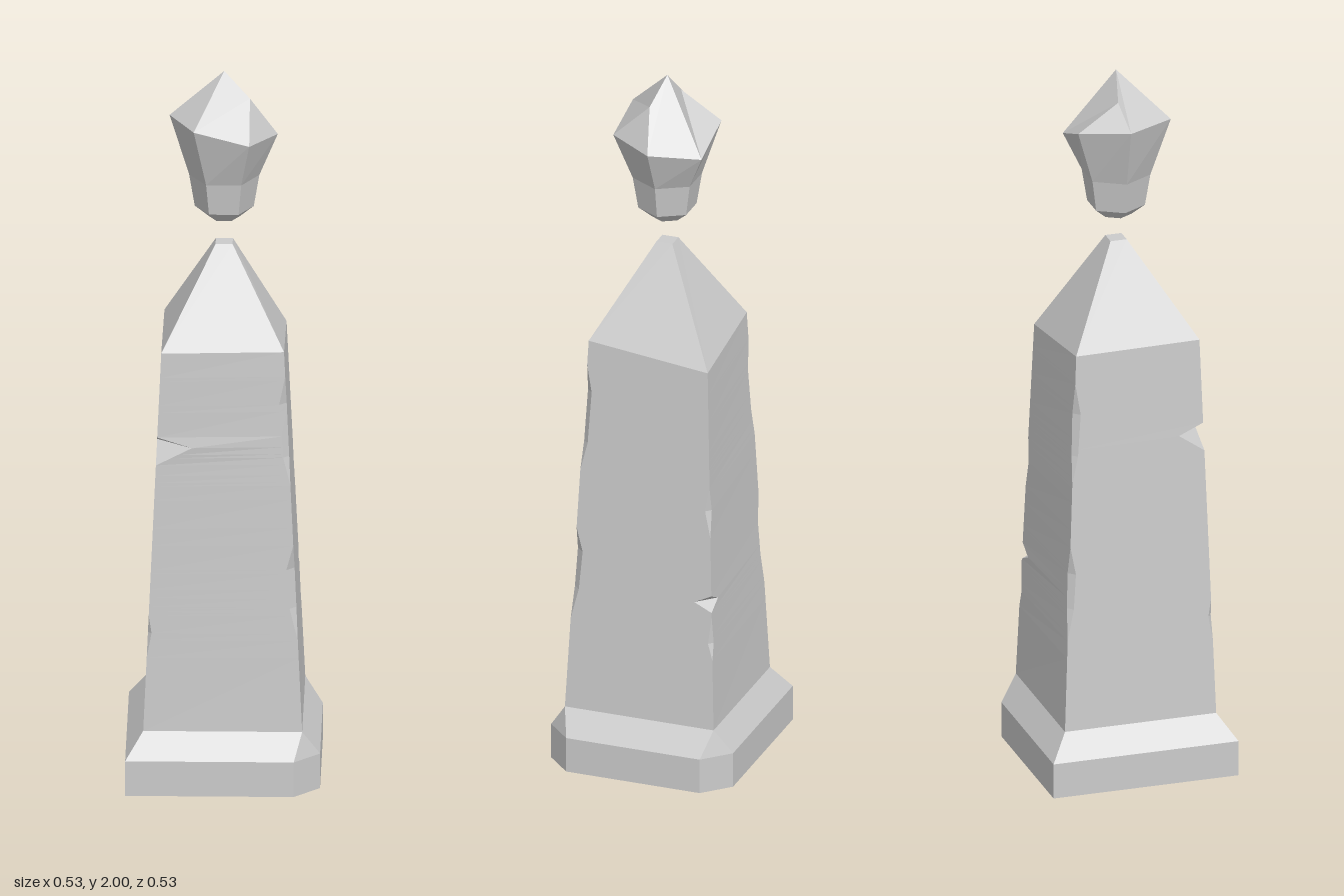
import * as THREE from 'three';

const material = new THREE.MeshStandardMaterial({ color: 0xcccccc, flatShading: true, side: THREE.DoubleSide });

// Flat-shaded mesh from polygons (arrays of [x, y, z], counter-clockwise from outside)
function polyMesh(name, polygons) {
  const pos = [];
  const [u, v, n] = [0, 1, 2].map(() => new THREE.Vector3());
  for (const p of polygons) {
    for (let i = 1; i < p.length - 1; i++) {
      u.fromArray(p[i]).sub(n.fromArray(p[0]));
      v.fromArray(p[i + 1]).sub(n);
      if (u.cross(v).length() > 1e-8) pos.push(...p[0], ...p[i], ...p[i + 1]);
    }
  }
  const geometry = new THREE.BufferGeometry();
  geometry.setAttribute('position', new THREE.Float32BufferAttribute(pos, 3));
  geometry.computeVertexNormals();
  const mesh = new THREE.Mesh(geometry, material);
  mesh.name = name;
  return mesh;
}

// Side faces between successive rings, listed bottom to top
function loft(rings) {
  const faces = [];
  for (let r = 0; r < rings.length - 1; r++) {
    const a = rings[r], b = rings[r + 1];
    a.forEach((p, i) => {
      const j = (i + 1) % a.length;
      faces.push([p, a[j], b[j], b[i]]);
    });
  }
  return faces;
}

// Two points for corner i, cut back by dx and dz
function cutCorner(i, [x, y, z], dx, dz) {
  const pair = [[x - Math.sign(x) * dx, y, z], [x, y, z - Math.sign(z) * dz]];
  return i % 2 ? pair : pair.reverse();
}

// Corner signs, running counter-clockwise seen from above
const SIGNS = [[-1, 1], [1, 1], [1, -1], [-1, -1]];
const squareRing = (half, y, cuts) =>
  SIGNS.flatMap(([sx, sz], i) => cutCorner(i, [sx * half, y, sz * half], cuts[i], cuts[i]));

// Upper shaft corners, slightly uneven
const SHOULDER = [[-0.167, 1.25, 0.183], [0.165, 1.25, 0.165], [0.165, 1.21, -0.179], [-0.165, 1.245, -0.167]];

// Chips along each shaft corner: [height, cut in x, cut in z]
const CHIPS = [
  [[0.38, 0, 0], [0.45, 0.01, 0.01], [0.5, 0, 0], [0.93, 0, 0], [0.98, 0.095, 0.07], [1.01, 0, 0]],
  [[0.43, 0, 0], [0.52, 0.018, 0.018], [0.63, 0.022, 0.022], [0.7, 0, 0],
    [0.87, 0, 0], [0.95, 0.016, 0.016], [1.1, 0.02, 0.018], [1.18, 0, 0]],
  [[0.38, 0, 0], [0.43, 0.012, 0.012], [0.51, 0, 0], [0.525, 0, 0], [0.55, 0.05, 0.05], [0.575, 0, 0],
    [0.75, 0, 0], [0.83, 0.014, 0.014], [0.9, 0, 0]],
  [[0.43, 0, 0], [0.52, 0.015, 0.015], [0.62, 0.018, 0.018], [0.7, 0, 0],
    [0.88, 0, 0], [0.96, 0.014, 0.014], [1.08, 0.018, 0.018], [1.17, 0, 0]],
];

function chipAt(list, y) {
  const k = list.findIndex((c) => c[0] >= y);
  if (k < 0 || (k === 0 && list[0][0] > y)) return [0, 0];
  if (list[k][0] === y) return list[k].slice(1);
  const a = list[k - 1], b = list[k], t = (y - a[0]) / (b[0] - a[0]);
  return [1, 2].map((c) => THREE.MathUtils.lerp(a[c], b[c], t));
}

function shaftRing(y) {
  const t = (y - 0.17) / 1.08;
  return SIGNS.flatMap(([sx, sz], i) => {
    const foot = [sx * 0.215, 0.17, sz * 0.215];
    const corner = foot.map((f, k) => THREE.MathUtils.lerp(f, SHOULDER[i][k], t));
    return cutCorner(i, corner, ...chipAt(CHIPS[i], y));
  });
}

function createFinial() {
  // Lower stem: tapering hexagonal rings below an uneven girdle
  const hexRing = (radius, y) => Array.from({ length: 6 }, (_, i) => {
    const a = (i - 2) * Math.PI / 3;
    return [Math.cos(a) * radius, y, -Math.sin(a) * radius];
  });
  const girdle = [
    [-0.08, 1.87, 0.13], [0.07, 1.83, 0.13], [0.145, 1.82, 0.003],
    [0.075, 1.8, -0.127], [-0.07, 1.855, -0.13], [-0.148, 1.87, -0.005],
  ];
  const foot = hexRing(0.042, 1.58);
  const faces = loft([foot, hexRing(0.08, 1.61), hexRing(0.095, 1.7), girdle]);
  faces.push([...foot].reverse());

  // Faceted crown
  const [frontL, frontR, right, backR, backL, left] = girdle;
  const apex = [0, 2, 0], leftKnee = [-0.065, 1.93, -0.015], rightKnee = [0.07, 1.93, 0.025];
  faces.push(
    [frontL, frontR, rightKnee, apex],
    [frontR, right, rightKnee],
    [right, backR, apex, rightKnee],
    [backR, backL, leftKnee, apex],
    [backL, left, leftKnee],
    [left, frontL, apex, leftKnee],
  );
  return polyMesh('finial', faces);
}

export function createModel() {
  const group = new THREE.Group();
  group.name = 'obelisk';

  // Hollow plinth with two clipped corners and a sloped upper edge
  const clipped = [0, 0.07, 0.07, 0], whole = [0, 0, 0, 0];
  group.add(polyMesh('plinth', loft([
    squareRing(0.263, 0, clipped), squareRing(0.263, 0.1, clipped), squareRing(0.215, 0.17, whole),
  ])));

  // Tapered shaft with chipped corners
  const levels = [...new Set([0.17, 1.25, ...CHIPS.flat().map((c) => c[0])])].sort((a, b) => a - b);
  group.add(polyMesh('shaft', loft(levels.map(shaftRing))));

  // Pyramid cap with a tiny flat top
  const tip = SIGNS.map(([sx, sz]) => [sx * 0.023, 1.508, sz * 0.023]);
  group.add(polyMesh('cap', [...loft([SHOULDER, tip]), tip]));

  group.add(createFinial());
  return group;
}
